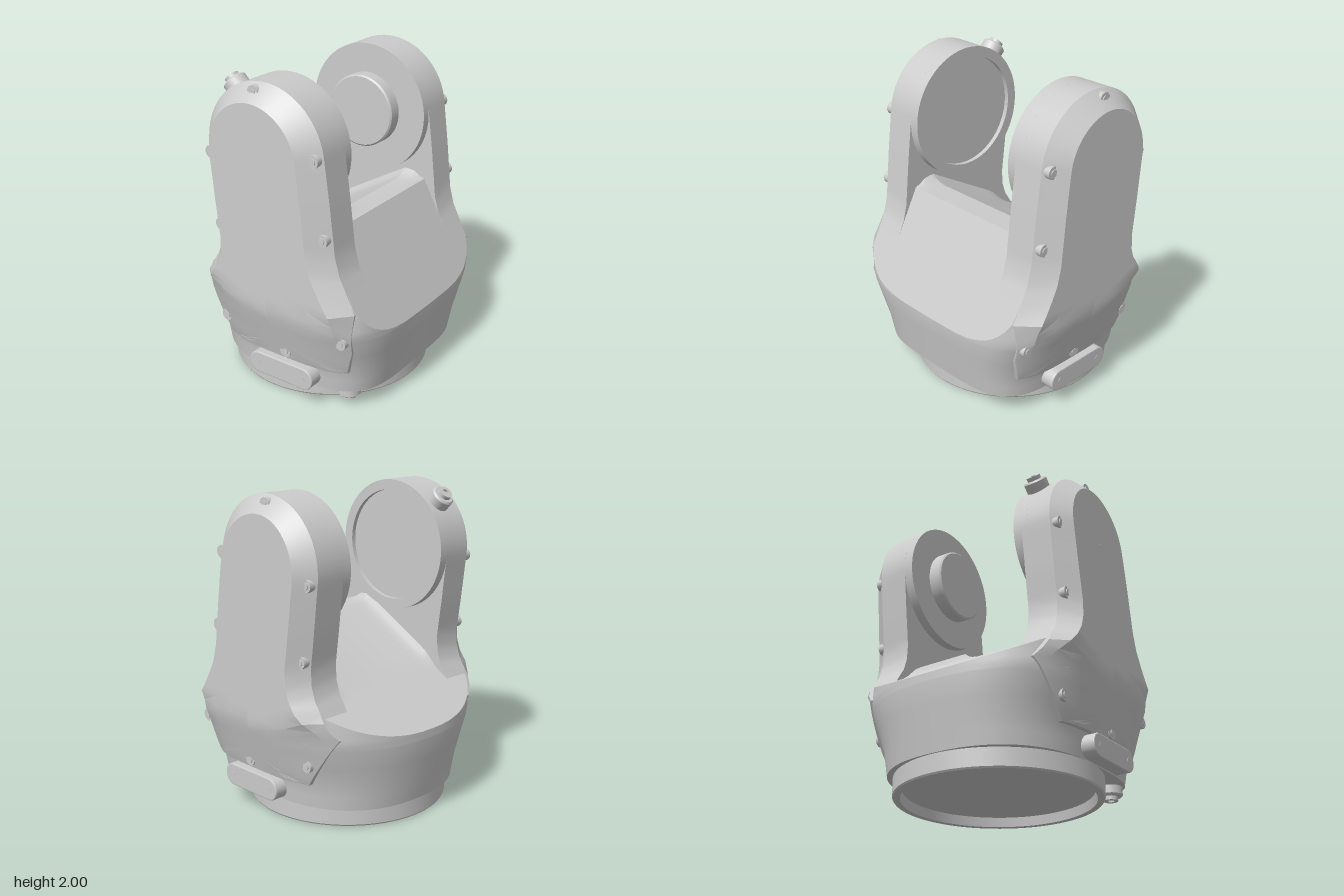
import * as THREE from 'three';
import { toCreasedNormals } from 'three/addons/utils/BufferGeometryUtils.js';

const { lerp, clamp, smoothstep } = THREE.MathUtils;
const material = new THREE.MeshStandardMaterial({ color: 0xcccccc });

// piecewise linear lookup through [input, output] pairs
function lookup(pairs, v) {
  if (v <= pairs[0][0]) return pairs[0][1];
  for (let i = 1; i < pairs.length; i++) {
    const [a, b] = [pairs[i - 1], pairs[i]];
    if (v <= b[0]) return lerp(a[1], b[1], (v - a[0]) / (b[0] - a[0]));
  }
  return pairs[pairs.length - 1][1];
}

// closed surface from columns of points; every column has the same row count
function skin(columns, flip = false) {
  const rows = columns[0].length, n = columns.length, index = [];
  for (let i = 0; i < n; i++) for (let r = 0; r < rows - 1; r++) {
    const a = i * rows + r, b = ((i + 1) % n) * rows + r;
    if (flip) index.push(a, b + 1, b, a, a + 1, b + 1);
    else index.push(a, b, b + 1, a, b + 1, a + 1);
  }
  const geo = new THREE.BufferGeometry();
  geo.setAttribute('position', new THREE.Float32BufferAttribute(columns.flat(2), 3));
  geo.setIndex(index);
  return toCreasedNormals(geo, 0.4);
}

// body footprint: superellipse, rounder on the -x side
const HALF_X = [[0.12, 0.66], [0.53, 0.73]];
const HALF_Z = [[0.12, 0.64], [0.28, 0.66], [0.58, 0.775], [0.74, 0.765], [0.86, 0.69], [1.15, 0.58]];
const unitZ = (xn) => {
  const n = xn < 0 ? 2.35 : 4.4;
  return Math.pow(Math.max(0, 1 - Math.pow(Math.abs(xn), n)), 1 / n);
};
const roof = (x) => Math.min(1.15, 0.585 + (x + 0.73) * 0.577, 1.15 - (x - 0.4) * 1.88);
const wallZ = (x, y) =>
  unitZ(clamp(x / lookup(HALF_X, y), -1, 1)) * (y > 0.58 ? 0.78 : lookup(HALF_Z, y));

// fillet where the deck meets the arms: [distance from the middle, rise]
const FILLET = [[0.5, 0.06], [0.46, 0.045], [0.43, 0.02], [0.4, 0.008], [0.35, 0], [0, 0]];

function bodyGeometry() {
  const xs = [0.25 / 0.73, 0.4 / 0.73];
  for (let i = 0; i <= 48; i++) xs.push(-Math.cos((i / 48) * Math.PI));
  xs.sort((a, b) => a - b);
  const ring = [...xs.map((x) => [x, 1]), ...xs.slice(1, -1).reverse().map((x) => [x, -1])];
  return skin(ring.map(([xn, side]) => {
    const x = xn * 0.73, top = roof(x), belt = Math.min(0.53, top);
    const ys = [0.12, 0.2, 0.28, 0.4, belt];
    for (let k = 1; k <= 6; k++) ys.push(lerp(belt, top, k / 6));
    const wall = ys.map((y) =>
      [xn * lookup(HALF_X, y), y, side * unitZ(xn) * lookup(HALF_Z, y)]);
    const topZ = unitZ(xn) * lookup(HALF_Z, top);
    const fade = smoothstep(x, -0.4, -0.25) * (1 - smoothstep(x, 0.3, 0.4));
    const deck = FILLET.map(([z, rise]) => [x, top + rise * fade, side * Math.min(z, topZ)]);
    return [[0, 0.12, 0], ...wall, ...deck];
  }));
}

// arm outline, counterclockwise from the front
const CX = -0.01, CY = 1.575, R = 0.425;
function armOutline() {
  const corners = [[-0.32, 0.28], [0.55, 0.28], [0.6, 0.45], [0.625, 0.72], [0.56, 0.85],
    [0.515, 0.94], [0.485, 1.05], [0.45, 1.35]];
  for (let i = 0; i <= 36; i++) {
    const a = lerp(0.12, Math.PI + 0.1, i / 36);
    corners.push([CX + R * Math.cos(a), CY + R * Math.sin(a)]);
  }
  corners.push([-0.4, 1.25], [-0.37, 1.02], [-0.375, 0.92], [-0.4, 0.84], [-0.445, 0.77], [-0.54, 0.61]);
  const out = [];
  corners.forEach((p, i) => {
    const q = corners[(i + 1) % corners.length];
    const steps = Math.ceil(Math.hypot(q[0] - p[0], q[1] - p[1]) / 0.07);
    for (let k = 0; k < steps; k++) out.push([lerp(p[0], q[0], k / steps), lerp(p[1], q[1], k / steps)]);
  });
  return out;
}
// cover follows the body wall low down and runs free of it higher up
const shellZ = (x, y) =>
  wallZ(x, y) + lerp(0.03, 0.012, smoothstep(y, 0.28, 0.55)) + 0.3 * smoothstep(y, 0.6, 1.05);
const faceZ = (x, y) =>
  Math.min(lookup([[0.28, 0.69], [0.62, 0.785], [1.9, 0.765]], y), shellZ(x, y));
const edgeZ = (x, y) =>
  Math.min(lerp(faceZ(x, y), 0.66, smoothstep(y, 0.4, 0.78)), shellZ(x, y));

function armGeometry(side) {
  return skin(armOutline().map(([x, y]) => {
    const sx = lookup([[0.3, 0.1], [0.9, 0.04], [1.5, CX]], y), sy = clamp(y, 0.42, CY);
    const dist = Math.hypot(sx - x, sy - y);
    const inset = lerp(0.04, lerp(0.095, 0.125, smoothstep(x, -0.3, 0.4)), smoothstep(y, 0.3, 0.9));
    const at = (t) => [lerp(x, sx, t), lerp(y, sy, t)];
    const face = (t) => { const p = at(t); return [...p, side * faceZ(...p)]; };
    const t0 = Math.min(0.8, inset / dist);
    return [[sx, sy, side * 0.46], [x, y, side * 0.46], [x, y, side * edgeZ(x, y)],
      face(t0), face(lerp(t0, 1, 0.33)), face(lerp(t0, 1, 0.66)), face(1)];
  }), side < 0);
}

export function createModel() {
  const model = new THREE.Group();
  const add = (name, geo, parent = model) => {
    const mesh = new THREE.Mesh(geo, material);
    mesh.name = name;
    parent.add(mesh);
    return mesh;
  };
  // cylinder along z between two depths
  const disc = (name, x, y, z0, z1, r, sides = 48, parent = model) => {
    const geo = new THREE.CylinderGeometry(r, r, Math.abs(z1 - z0), sides).rotateX(Math.PI / 2);
    const mesh = add(name, geo, parent);
    mesh.position.set(x, y, (z0 + z1) / 2);
    return mesh;
  };
  const lathe = (points, segments = 32) => toCreasedNormals(
    new THREE.LatheGeometry(points.map((p) => new THREE.Vector2(...p)), segments), 0.5);

  // hollow base ring
  add('baseRing', lathe([[0, 0.06], [0.585, 0.06], [0.595, 0], [0.635, 0], [0.642, 0.01], [0.642, 0.125]], 96))
    .position.x = -0.008;
  add('body', bodyGeometry());

  const screws = [[-0.045, 1.945], [0.365, 1.62], [-0.385, 1.52], [0.425, 1.155],
    [-0.33, 1.065], [0.555, 0.53], [-0.34, 0.42], [0.145, 0.335]];
  for (const side of [1, -1]) {
    const arm = new THREE.Group();
    arm.name = side > 0 ? 'frontArm' : 'backArm';
    model.add(arm);
    add('armShell', armGeometry(side), arm);

    // cover screws seated in the bevel
    for (const [x, y] of screws) {
      const z = y > 0.9 ? 0.71 : faceZ(x, y) + 0.002;
      disc('screwSeat', x, y, side * (z - 0.06), side * z, 0.04, 20, arm);
      disc('screw', x, y, side * (z - 0.05), side * (z + 0.006), 0.022, 12, arm);
    }

    // pill-shaped plate above the base
    const pill = new THREE.Shape();
    pill.absarc(0.17, 0, 0.065, -Math.PI / 2, Math.PI / 2);
    pill.absarc(-0.17, 0, 0.065, Math.PI / 2, Math.PI * 1.5);
    const pillGeo = new THREE.ExtrudeGeometry(pill, {
      depth: 0.13, bevelSize: 0.007, bevelThickness: 0.007, bevelSegments: 2, curveSegments: 16 });
    add('sidePlate', pillGeo, arm).position.set(0.12, 0.2, side > 0 ? 0.593 : -0.723);
    for (const x of [-0.05, 0.29]) disc('plateBolt', x, 0.2, side * 0.7, side * 0.733, 0.02, 4, arm);
  }

  // pivot boss with a shallow recess on the front arm
  const ring = new THREE.Shape().absarc(0, 0, R, 0, Math.PI * 2);
  ring.holes.push(new THREE.Path().absarc(0, 0, 0.36, 0, Math.PI * 2, true));
  const ringGeo = new THREE.ExtrudeGeometry(ring, { depth: 0.1, bevelEnabled: false, curveSegments: 64 });
  add('frontPivotRing', toCreasedNormals(ringGeo, 0.5)).position.set(CX, CY, 0.4);
  disc('frontPivotRecess', CX, CY, 0.43, 0.5, 0.365, 64);

  // solid boss and hub on the back arm
  disc('backPivotBoss', CX, CY, -0.4, -0.5, R, 64);
  const hub = add('backHub', lathe([[0.238, 0], [0.238, 0.1], [0.228, 0.11], [0, 0.11]], 64));
  hub.rotation.x = Math.PI / 2;
  hub.position.set(CX, CY, -0.42);

  // cable connectors: one on the arm shoulder, one under the body
  const plug = lathe([[0, 0], [0.075, 0], [0.075, 0.07], [0.065, 0.08], [0.045, 0.08],
    [0.045, 0.105], [0.022, 0.105], [0.022, 0.09], [0, 0.09]]);
  const shoulder = add('shoulderConnector', plug);
  shoulder.position.set(-0.3, 1.865, 0.51);
  shoulder.rotation.z = Math.PI / 4;
  const under = add('baseConnector', plug);
  under.position.set(0.48, 0.14, 0.5);
  under.rotation.x = Math.PI;
  return model;
}
